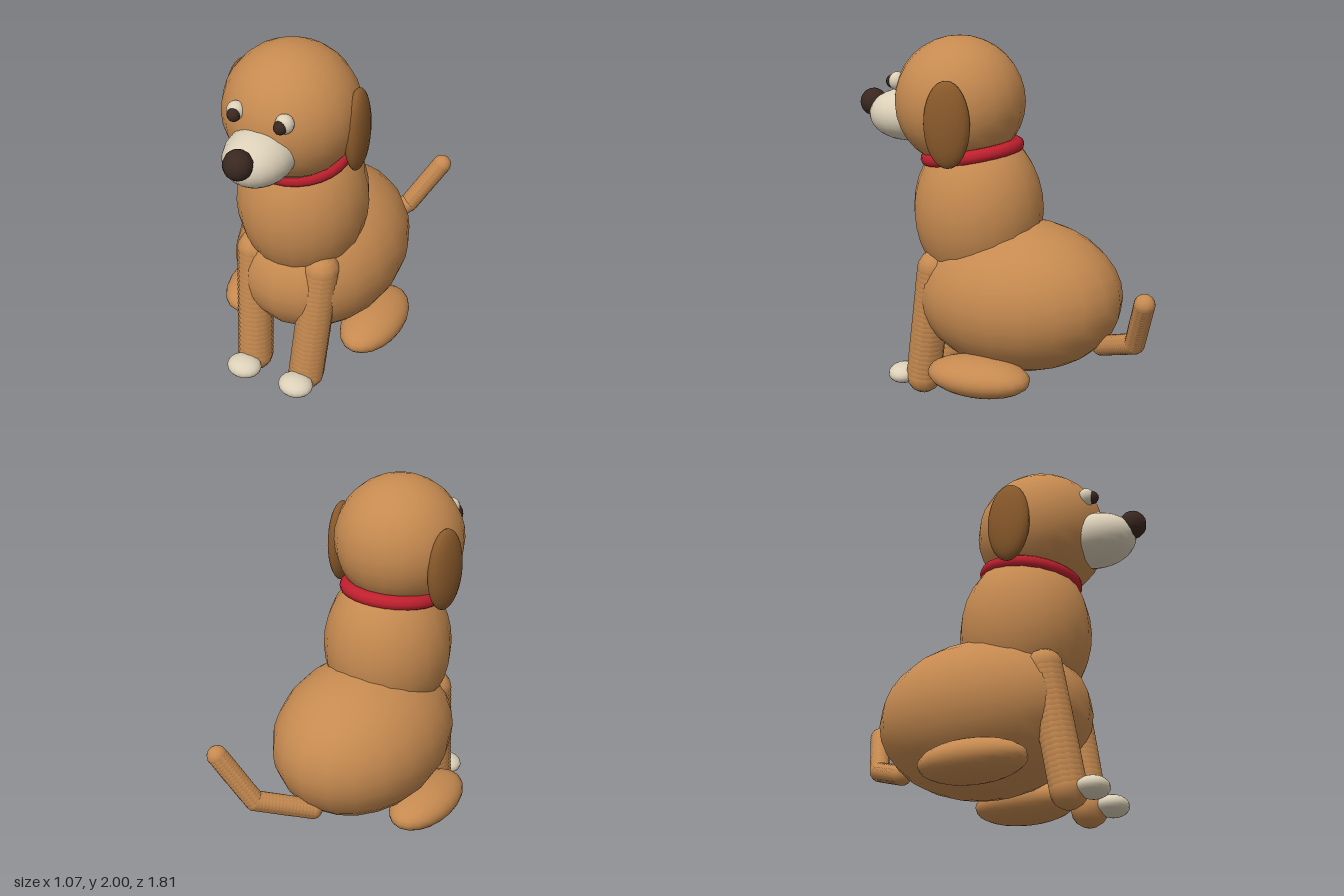
import * as THREE from 'three';
import { mergeGeometries } from 'three/addons/utils/BufferGeometryUtils.js';

const material = (name, color) => {
  const m = new THREE.MeshStandardMaterial({ color });
  m.name = name;
  return m;
};

// Ellipsoid from a centre and three radii
function ellipsoid(name, mat, [x, y, z], [rx, ry, rz], segments = 20, rings = 16) {
  const mesh = new THREE.Mesh(new THREE.SphereGeometry(1, segments, rings), mat);
  mesh.name = name;
  mesh.position.set(x, y, z);
  mesh.scale.set(rx, ry, rz);
  return mesh;
}

// Ribbed limb: closely stacked balls along a polyline
function beadedLimb(name, mat, points, radius, step) {
  const path = new THREE.CurvePath();
  for (let i = 1; i < points.length; i++) {
    path.add(new THREE.LineCurve3(
      new THREE.Vector3(...points[i - 1]), new THREE.Vector3(...points[i])));
  }
  const count = Math.ceil(path.getLength() / step);
  const balls = [];
  for (let i = 0; i <= count; i++) {
    const p = path.getPoint(i / count);
    balls.push(new THREE.SphereGeometry(radius, 12, 8).translate(p.x, p.y, p.z));
  }
  const mesh = new THREE.Mesh(mergeGeometries(balls), mat);
  mesh.name = name;
  return mesh;
}

export function createModel() {
  const fur = material('tan fur', 0xc68a50);
  const earFur = material('dark brown fur', 0x8a5a2b);
  const cream = material('cream', 0xdcd0b8);
  const dark = material('dark brown', 0x3a2820);
  const red = material('red', 0xc0202e);

  const dog = new THREE.Group();
  dog.name = 'sittingDog';

  // Torso and head
  dog.add(
    ellipsoid('body', fur, [0, 0.6, -0.035], [0.46, 0.42, 0.585]),
    ellipsoid('chest', fur, [0, 1.06, 0.2], [0.352, 0.45, 0.357]),
    ellipsoid('head', fur, [0, 1.648, 0.305], [0.352, 0.352, 0.355]),
    ellipsoid('muzzle', cream, [0, 1.555, 0.62], [0.175, 0.143, 0.22]),
    ellipsoid('nose', dark, [0, 1.61, 0.827], [0.075, 0.077, 0.075], 12, 10),
  );

  // Collar, tipped down at the front
  const collar = new THREE.Mesh(
    new THREE.TorusGeometry(0.245, 0.04, 10, 28).rotateX(Math.PI / 2), red);
  collar.name = 'collar';
  collar.position.set(0, 1.378, 0.235);
  collar.rotation.x = 0.17;
  dog.add(collar);

  // Mirrored parts
  for (const [side, s] of [['left', 1], ['right', -1]]) {
    const ear = ellipsoid(side + 'Ear', earFur, [s * 0.33, 1.577, 0.235], [0.06, 0.23, 0.125]);
    ear.rotation.y = s * 0.15;
    dog.add(
      ear,
      ellipsoid(side + 'Eye', cream, [s * 0.133, 1.757, 0.613], [0.048, 0.05, 0.045], 14, 10),
      ellipsoid(side + 'Pupil', dark, [s * 0.127, 1.752, 0.646], [0.034, 0.036, 0.034], 10, 8),
      beadedLimb(side + 'FrontLeg', fur,
        [[s * 0.2, 0.755, 0.375], [s * 0.162, 0.1, 0.475]], 0.1, 0.03),
      ellipsoid(side + 'FrontPaw', cream, [s * 0.162, 0.098, 0.6], [0.098, 0.056, 0.085], 16, 12),
      ellipsoid(side + 'HindLeg', fur, [s * 0.37, 0.237, 0.05], [0.166, 0.108, 0.29]),
    );
  }

  // Bent tail, swung to one side
  dog.add(beadedLimb('tail', fur,
    [[0, 0.36, -0.52], [0.2, 0.475, -0.76], [0.36, 0.75, -0.85]], 0.056, 0.02));

  return dog;
}
